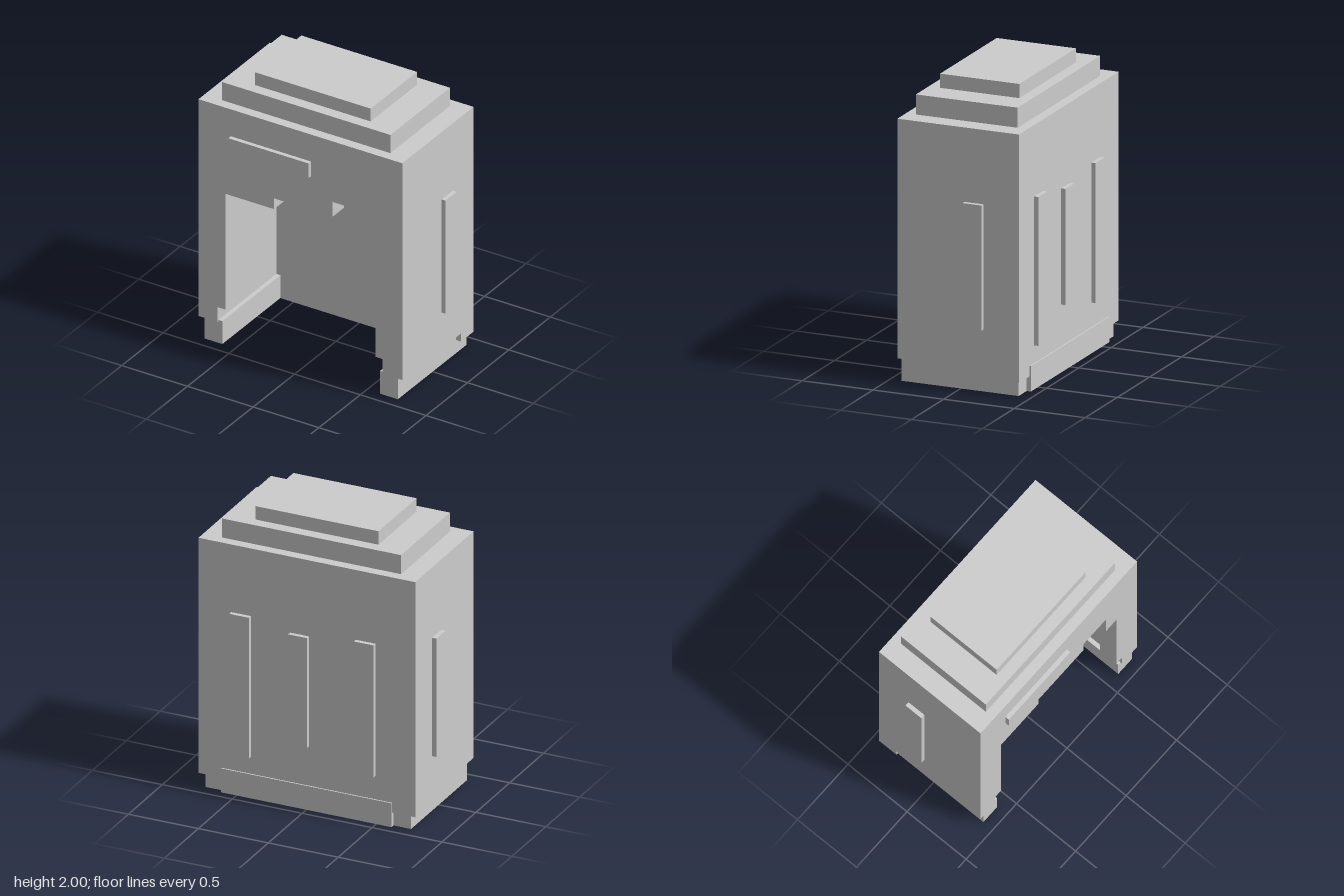
import * as THREE from 'three';

const grey = new THREE.MeshStandardMaterial({ color: 0xcccccc });
grey.name = 'plain grey';

// Box given by its limits on each axis
function block(name, [x0, x1], [y0, y1], [z0, z1]) {
  const mesh = new THREE.Mesh(new THREE.BoxGeometry(x1 - x0, y1 - y0, z1 - z0), grey);
  mesh.position.set((x0 + x1) / 2, (y0 + y1) / 2, (z0 + z1) / 2);
  mesh.name = name;
  return mesh;
}

export function createModel() {
  const model = new THREE.Group();
  model.name = 'booth';
  const add = (...args) => model.add(block(...args));

  // Front wall with the stepped opening
  const outline = [
    [-0.775, 0.16], [-0.63, 0.16], [-0.63, 0.27], [-0.57, 0.27], [-0.57, 1.13], [-0.2, 1.13],
    [-0.2, 1.21], [0.245, 1.21], [0.245, 1.32], [0.47, 1.32], [0.47, 1.1], [0.57, 1.1],
    [0.57, 0.27], [0.625, 0.27], [0.625, 0.16], [0.775, 0.16], [0.775, 1.77], [-0.775, 1.77],
  ].map(([x, y]) => new THREE.Vector2(x, y));
  const frontWall = new THREE.Mesh(
    new THREE.ExtrudeGeometry(new THREE.Shape(outline), { depth: 0.14, bevelEnabled: false }), grey);
  frontWall.position.z = 0.29;
  frontWall.name = 'frontWall';
  model.add(frontWall);

  // Back wall and ceiling of the hollow body
  add('backWall', [-0.775, 0.775], [0.1, 1.77], [-0.43, -0.28]);
  add('ceiling', [-0.63, 0.63], [1.63, 1.77], [-0.28, 0.29]);

  // Side walls, their outer strips and the base rails, mirrored
  for (const [side, s] of [['left', 1], ['right', -1]]) {
    const span = (a, b) => (s > 0 ? [a, b] : [-b, -a]);
    add(side + 'Wall', span(0.63, 0.775), [0.16, 1.77], [-0.28, 0.29]);
    add(side + 'Strip', span(0.775, 0.805), [0.43, 1.27], [-0.18, -0.045]);
    add(side + 'BaseRail', span(0.6, 0.735), [0, 0.17], [-0.41, 0.42]);
  }
  add('backBaseRail', [-0.61, 0.61], [0, 0.17], [-0.44, -0.28]);

  // Stepped roof
  add('lowerRoofTier', [-0.64, 0.64], [1.77, 1.905], [-0.36, 0.36]);
  add('upperRoofTier', [-0.44, 0.44], [1.905, 2], [-0.28, 0.28]);

  // Sign on the front and strips on the back
  add('frontSign', [-0.53, 0.08], [1.46, 1.57], [0.43, 0.46]);
  add('backStripLeft', [0.4, 0.54], [0.29, 1.29], [-0.46, -0.43]);
  add('backStripMiddle', [-0.015, 0.12], [0.45, 1.23], [-0.46, -0.43]);
  add('backStripRight', [-0.49, -0.35], [0.335, 1.275], [-0.46, -0.43]);

  return model;
}
